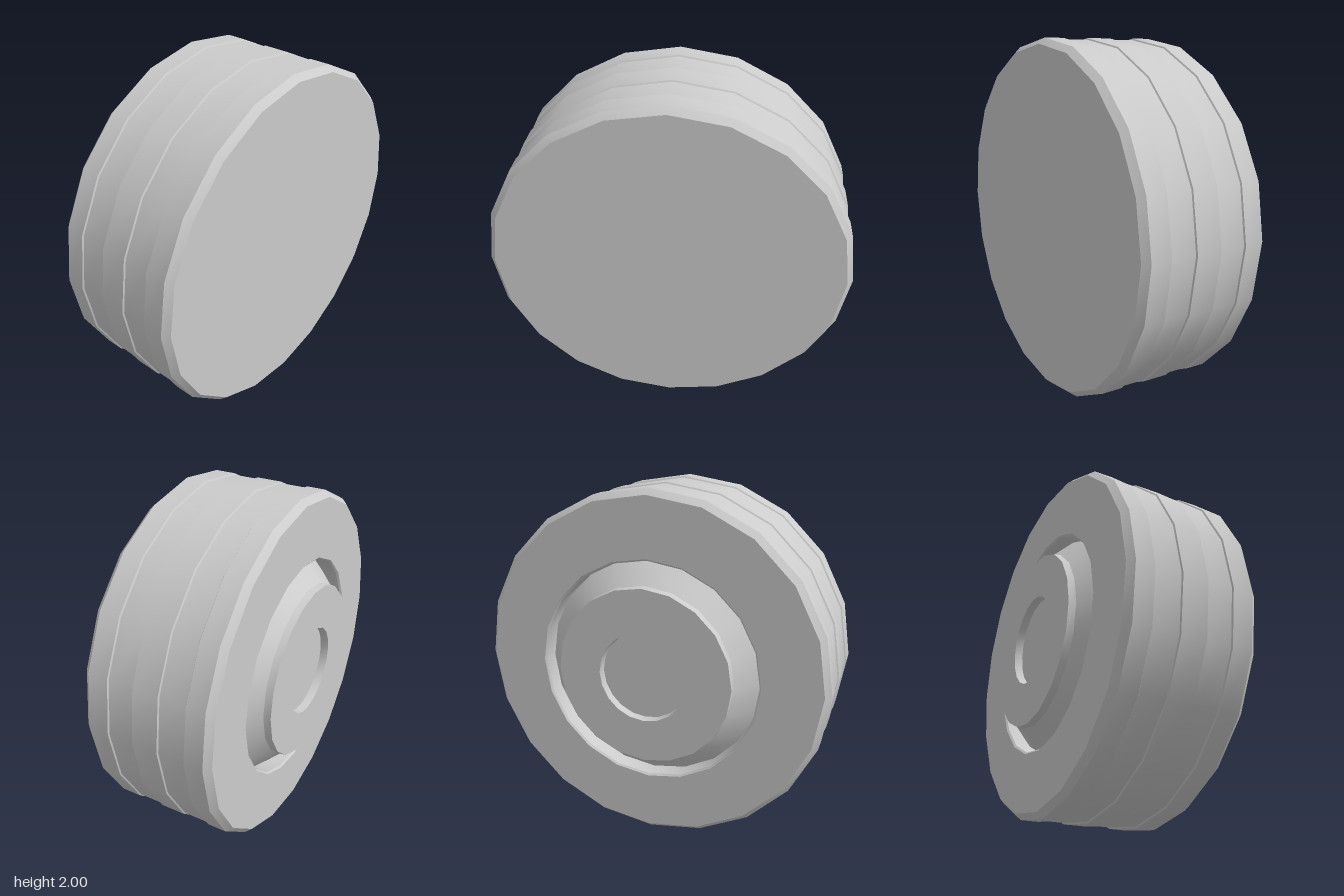
import * as THREE from 'three';
import { toCreasedNormals } from 'three/addons/utils/BufferGeometryUtils.js';

const SIDES = 20;

// Turn a [radius, x] profile around the x axis; bends stay sharp, the round stays smooth
function turned(name, profile) {
  const points = profile.map(([r, x]) => new THREE.Vector2(r, x));
  const lathe = new THREE.LatheGeometry(points, SIDES);
  lathe.rotateZ(-Math.PI / 2);
  const mesh = new THREE.Mesh(
    toCreasedNormals(lathe, THREE.MathUtils.degToRad(30)),
    new THREE.MeshStandardMaterial({ color: 0xcccccc })
  );
  mesh.name = name;
  mesh.position.y = 1;
  return mesh;
}

export function createModel() {
  const group = new THREE.Group();
  group.name = 'wheel';

  const grooveR = 0.625, grooveX = -0.24;

  // Hub: shallow centre hole, raised disc and a cone running down into the groove
  group.add(turned('hub', [
    [0, -0.36],
    [0.25, -0.36],
    [0.255, -0.405],
    [0.5, -0.405],
    [0.505, -0.365],
    [grooveR, grooveX],
  ]));

  // Shallow recesses between the three tread bands
  const recess = (from, to) => [
    [1, from], [0.992, from + 0.005], [0.992, to - 0.005], [1, to],
  ];

  // Tyre: groove wall, bevelled side, banded tread and closed far side
  group.add(turned('tyre', [
    [grooveR, grooveX],
    [0.63, -0.325],
    [0.64, -0.335],
    [0.968, -0.335],
    [1, -0.3],
    ...recess(-0.195, -0.04),
    ...recess(0.105, 0.255),
    [1, 0.37],
    [0.968, 0.405],
    [0, 0.405],
  ]));

  return group;
}
